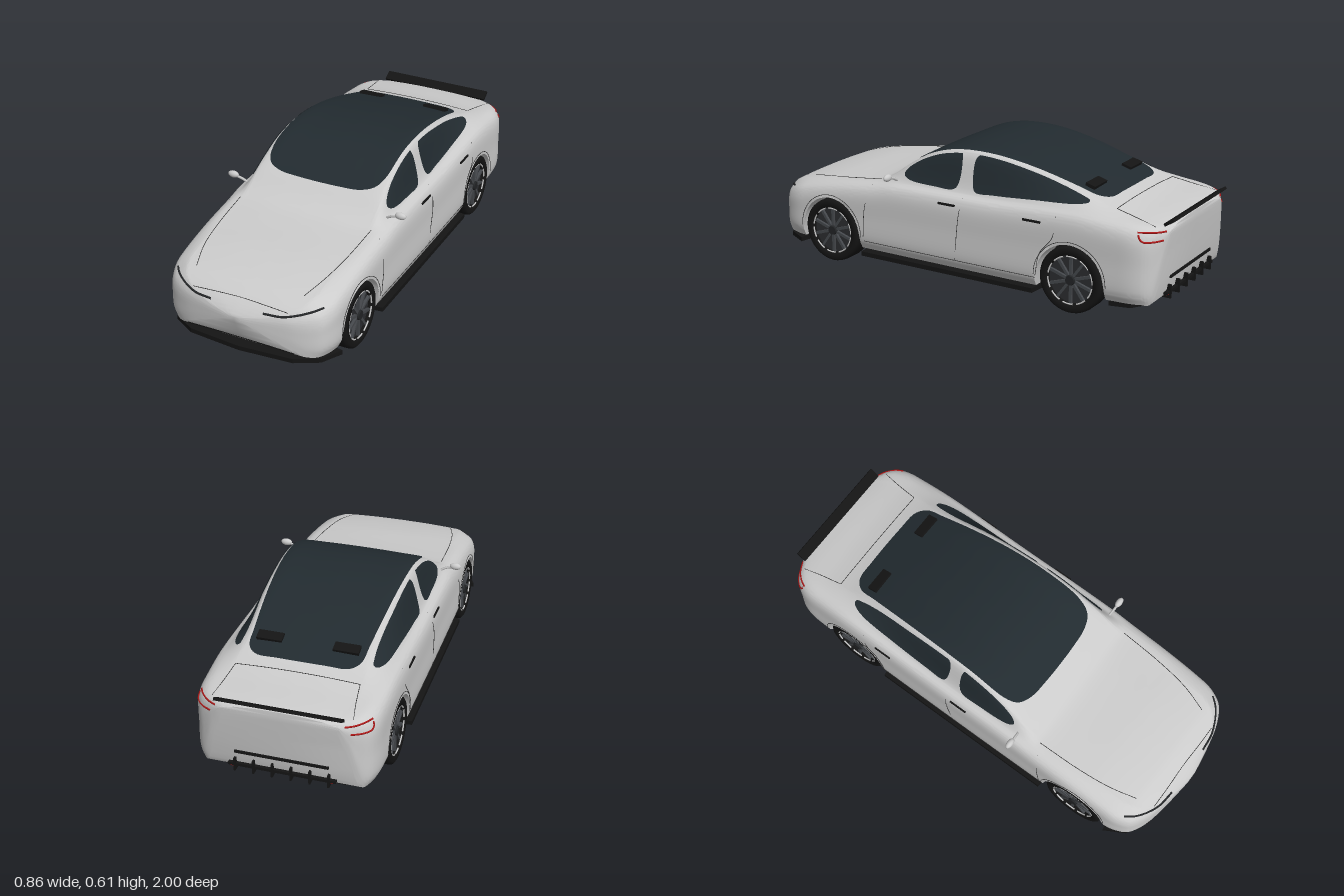
import * as THREE from 'three';
import { toCreasedNormals } from 'three/addons/utils/BufferGeometryUtils.js';

const GREY = 0xcccccc, BLACK = 0x141414, GLASS = 0x222b30, RED = 0xb01818;
const V = (x, y, z) => new THREE.Vector3(x, y, z);
const WHEELS = [0.635, -0.59], WHEEL_Y = 0.145, ARCH_R = 0.156;

// Smooth curve through [z, value] pairs given in falling z
function keys(...k) {
  const slope = i => {
    const a = k[Math.max(i - 1, 0)], b = k[Math.min(i + 1, k.length - 1)];
    return (b[1] - a[1]) / (b[0] - a[0]);
  };
  return z => {
    if (z >= k[0][0]) return k[0][1];
    for (let i = 0; i < k.length - 1; i++) {
      const [z0, v0] = k[i], [z1, v1] = k[i + 1];
      if (z < z1) continue;
      const d = z1 - z0, t = (z - z0) / d, t2 = t * t, t3 = t2 * t;
      return v0 * (2 * t3 - 3 * t2 + 1) + slope(i) * d * (t3 - 2 * t2 + t)
        + v1 * (3 * t2 - 2 * t3) + slope(i + 1) * d * (t3 - t2);
    }
    return k[k.length - 1][1];
  };
}

// Body outlines along the length
const halfWidth = keys([1, 0.03], [0.985, 0.13], [0.96, 0.25], [0.92, 0.335], [0.87, 0.37], [0.8, 0.385], [0.4, 0.393],
  [-0.4, 0.393], [-0.8, 0.388], [-0.88, 0.378], [-0.93, 0.35], [-0.96, 0.3], [-0.975, 0.25]);
const bottomY = keys([1, 0.225], [0.98, 0.165], [0.96, 0.12], [0.94, 0.098], [0.9, 0.09], [0.5, 0.09],
  [-0.9, 0.09], [-0.94, 0.1], [-0.955, 0.18], [-0.968, 0.3], [-0.975, 0.37]);
const topY = keys([1, 0.245], [0.985, 0.265], [0.96, 0.29], [0.93, 0.313], [0.87, 0.343], [0.7, 0.378], [0.5, 0.398],
  [0.4, 0.415], [0.34, 0.446], [0.27, 0.496], [0.2, 0.538], [0.1, 0.58], [0, 0.6], [-0.1, 0.604], [-0.2, 0.597],
  [-0.3, 0.581], [-0.4, 0.559], [-0.5, 0.531], [-0.6, 0.5], [-0.7, 0.467], [-0.8, 0.443], [-0.9, 0.428], [-0.975, 0.415]);
const beltY = keys([1, 0.237], [0.985, 0.25], [0.96, 0.27], [0.9, 0.305], [0.8, 0.338], [0.6, 0.375], [0.4, 0.4],
  [0.3, 0.415], [0.1, 0.422], [-0.2, 0.425], [-0.6, 0.44], [-0.8, 0.424], [-0.9, 0.412], [-0.975, 0.398]);
const roofRatio = keys([1, 0.78], [0.4, 0.78], [0.2, 0.755], [0, 0.74], [-0.3, 0.715], [-0.6, 0.67], [-0.8, 0.72], [-1, 0.72]);

// Right half of a cross-section, from sill to centre line
function section(z) {
  const w = halfWidth(z), b = bottomY(z), s = beltY(z), t = topY(z), h = s - b;
  const r = w * roofRatio(z), e = t - Math.min(0.008, (t - s) * 0.5);
  const mix = THREE.MathUtils.lerp;
  return new THREE.CatmullRomCurve3([
    V(w * 0.95, b, z), V(w * 0.995, b + Math.min(0.04, h * 0.3), z), V(w, mix(b, s, 0.5), z),
    V(w * 0.993, s - Math.min(0.055, h * 0.25), z), V(w * 0.955, s - Math.min(0.02, h * 0.1), z), V(w * 0.88, s, z),
    V(mix(w * 0.88, r, 0.93), mix(s, e, 0.93), z), V(r * 0.96, e, z), V(r * 0.5, mix(e, t, 0.75), z), V(0, t, z)
  ]).getPoints(54);
}
// Points lying on the body, seen from the side, above and the front
function sideX(y, z) {
  const p = section(z);
  let x = -1;
  for (let i = 0; i < p.length - 1; i++) {
    const a = p[i], b = p[i + 1];
    if ((a.y - y) * (b.y - y) <= 0 && a.y !== b.y) x = Math.max(x, a.x + (b.x - a.x) * (y - a.y) / (b.y - a.y));
  }
  return x;
}
const onSide = (s, z, y, off = 0.001) => V(s * (sideX(y, z) + off), y, z);
function onTop(x, z, off = 0.001) {
  const p = section(z), ax = Math.abs(x);
  for (let i = p.length - 1; i > 0; i--) {
    const a = p[i], b = p[i - 1];
    if (b.x >= ax) return V(x, a.y + (b.y - a.y) * (ax - a.x) / (b.x - a.x) + off, z);
  }
  return V(x, p[0].y, z);
}
function onFront(x, y) {
  let z = 1;
  while (z > 0.5 && sideX(y, z) < Math.abs(x)) z -= 0.003;
  return V(x, y, z + 0.002);
}

function createBody() {
  const arch = z => Math.max(...WHEELS.map(c => Math.abs(z - c) < ARCH_R ? WHEEL_Y + Math.sqrt(ARCH_R ** 2 - (z - c) ** 2) : 0));
  const rows = [];
  for (let z = 1; z > -0.975; z -= (z > 0.9 || z < -0.89 ? 0.005 : 0.0125)) rows.push(z);
  rows.push(-0.975);
  const pos = [], idx = [];
  const loops = rows.map(z => {
    const half = section(z);
    const full = [V(0, half[0].y, z), ...half, ...half.slice(0, -1).reverse().map(p => V(-p.x, p.y, z)), V(0, half[0].y, z)];
    full.forEach(p => { p.y = Math.max(p.y, arch(z)); });
    return full;
  });
  const n = loops[0].length;
  loops.unshift(loops[0].map(() => V(0, 0.237, 1)));
  loops.push(loops[1].map(() => V(0, 0.395, -0.977)));
  loops.forEach(l => l.forEach(p => pos.push(p.x, p.y, p.z)));
  for (let i = 0; i < loops.length - 1; i++) for (let j = 0; j < n - 1; j++) {
    const a = i * n + j, c = a + n;
    idx.push(a, c, a + 1, a + 1, c, c + 1);
  }
  const g = new THREE.BufferGeometry();
  g.setAttribute('position', new THREE.Float32BufferAttribute(pos, 3));
  g.setIndex(idx);
  return toCreasedNormals(g, 0.8);
}

// Rounded patch: an outline filled with rings and laid on the body
function patch(outline, place) {
  const pts = new THREE.CatmullRomCurve3(outline.map(([a, b]) => V(a, b, 0)), true).getPoints(96);
  const mid = pts.reduce((s, p) => s.add(p), V(0, 0, 0)).divideScalar(pts.length);
  const pos = [], idx = [], R = 16, n = pts.length;
  for (let r = 0; r <= R; r++) pts.forEach(p => {
    const q = mid.clone().lerp(p, r / R);
    pos.push(...place(q.x, q.y).toArray());
  });
  for (let r = 0; r < R; r++) for (let j = 0; j < n - 1; j++) {
    const a = r * n + j;
    idx.push(a, a + n, a + 1, a + 1, a + n, a + n + 1);
  }
  const g = new THREE.BufferGeometry();
  g.setAttribute('position', new THREE.Float32BufferAttribute(pos, 3));
  g.setIndex(idx);
  g.computeVertexNormals();
  return g;
}

function createWheel(add) {
  const wheel = new THREE.Group();
  const part = (name, g, c, x = 0) => { const m = add(name, g, c, wheel); m.position.x = x; return m; };
  // Profile as [radius, distance outwards]
  const tyre = [[0.104, -0.05], [0.132, -0.052], [0.143, -0.044], [0.145, -0.03], [0.145, 0.03], [0.143, 0.044], [0.132, 0.052], [0.108, 0.049], [0.104, 0.03]];
  part('tyre', new THREE.LatheGeometry(tyre.map(p => new THREE.Vector2(...p)), 48).rotateZ(-Math.PI / 2), BLACK).material.side = THREE.DoubleSide;
  part('rimDisc', new THREE.CylinderGeometry(0.106, 0.106, 0.06, 40).rotateZ(Math.PI / 2), 0x2b2d30);
  part('hub', new THREE.CylinderGeometry(0.02, 0.026, 0.02, 16).rotateZ(-Math.PI / 2), 0x222426, 0.04);
  for (let i = 0; i < 10; i++) {
    const a = i * Math.PI / 5;
    part('spoke', new THREE.BoxGeometry(0.012, 0.085, 0.012).translate(0, 0.06, 0).rotateX(a), 0x45484c, 0.036);
    part('rimAccent', new THREE.TorusGeometry(0.104, 0.0035, 6, 6, 0.48).rotateY(Math.PI / 2).rotateX(a), GREY, 0.046);
  }
  return wheel;
}

export function createModel() {
  const car = new THREE.Group();
  const add = (name, g, color = GREY, parent = car) => {
    const m = new THREE.Mesh(g, new THREE.MeshStandardMaterial({ color }));
    m.name = name;
    parent.add(m);
    return m;
  };
  const box = (name, w, h, d, x, y, z, c = BLACK) => {
    const m = add(name, new THREE.BoxGeometry(w, h, d), c);
    m.position.set(x, y, z);
    return m;
  };
  const tube = (name, pts, r = 0.0014, c = 0x333333) =>
    add(name, new THREE.TubeGeometry(new THREE.CatmullRomCurve3(pts), 32, r, 5), c);

  add('body', createBody());

  // Roof glass and side windows
  const half = [[0.1, 0.272], [0.2, 0.262], [0.255, 0.235], [0.279, 0.18], [0.281, 0], [0.272, -0.25], [0.25, -0.55], [0.24, -0.64], [0.2, -0.68], [0.1, -0.687]];
  const roof = [...half, ...half.map(([x, z]) => [-x, z]).reverse()];
  add('roofGlass', patch(roof, (x, z) => onTop(x, z, 0.004)), GLASS).material.side = THREE.DoubleSide;
  const front = [[0.268, 0.455], [0.24, 0.438], [0.1, 0.43], [0, 0.434], [-0.018, 0.46], [-0.022, 0.56], [-0.01, 0.59], [0.05, 0.583], [0.12, 0.562], [0.2, 0.52], [0.255, 0.48]];
  const rear = [[-0.09, 0.46], [-0.105, 0.436], [-0.2, 0.436], [-0.4, 0.448], [-0.6, 0.46], [-0.63, 0.468], [-0.61, 0.484], [-0.5, 0.518], [-0.35, 0.558], [-0.2, 0.585], [-0.11, 0.59], [-0.088, 0.57]];
  for (const s of [1, -1]) {
    [['frontWindow', front], ['rearWindow', rear]].forEach(([name, o]) =>
      add(name, patch(o, (z, y) => onSide(s, z, Math.min(y, topY(z) - 0.017), 0.004)), GLASS).material.side = THREE.DoubleSide);

    // Panel seams, arch lines and door handles
    const sideLine = (name, zy, r, c) => tube(name, zy.map(([z, y]) => onSide(s, z, y)), r, c);
    sideLine('frontDoorSeam', [[0.42, 0.39], [0.44, 0.3], [0.455, 0.15]]);
    sideLine('middleDoorSeam', [[-0.06, 0.41], [-0.055, 0.35], [-0.03, 0.13]]);
    sideLine('rearDoorSeam', [[-0.52, 0.41], [-0.51, 0.32], [-0.45, 0.24], [-0.43, 0.14]]);
    sideLine('sillSeam', [[0.45, 0.13], [0, 0.13], [-0.43, 0.13]]);
    WHEELS.forEach(c => sideLine('archLine', Array.from({ length: 13 }, (_, i) => {
      const a = Math.PI * i / 12;
      return [c + 0.168 * Math.cos(a), WHEEL_Y + 0.168 * Math.sin(a)];
    })));
    [0.01, -0.41].forEach(z => box('doorHandle', 0.008, 0.009, 0.085, s * (sideX(0.375, z) + 0.001), 0.375, z));
    tube('bonnetSeam', [[0.315, 0.4], [0.305, 0.6], [0.285, 0.75], [0.25, 0.87]].map(([x, z]) => onTop(s * x, z)));
    tube('bootSeam', [[0.265, -0.74], [0.28, -0.85], [0.295, -0.93]].map(([x, z]) => onTop(s * x, z)));

    // Lights
    tube('headlight', [[0.34, 0.308], [0.31, 0.302], [0.26, 0.289], [0.2, 0.278], [0.12, 0.275]].map(([x, y]) => onFront(s * x, y)), 0.005, 0x26282a);
    sideLine('tailLight', [[-0.965, 0.392], [-0.945, 0.394], [-0.91, 0.398], [-0.88, 0.398]], 0.004, RED);
    sideLine('tailLight', [[-0.963, 0.36], [-0.94, 0.36], [-0.91, 0.362], [-0.895, 0.372], [-0.885, 0.39]], 0.004, RED);
    box('rearReflector', 0.02, 0.012, 0.012, s * 0.21, 0.105, -0.95, RED);

    // Mirrors on stalks
    const mirror = add('mirror', new THREE.SphereGeometry(1, 16, 10));
    mirror.scale.set(0.026, 0.016, 0.014);
    mirror.position.set(s * 0.405, 0.45, 0.305);
    tube('mirrorStalk', [V(s * 0.34, 0.425, 0.3), V(s * 0.362, 0.437, 0.303), V(s * 0.39, 0.445, 0.305)], 0.006, GREY);

    // Wheels
    WHEELS.forEach((z, i) => {
      const w = createWheel(add);
      w.name = i ? 'rearWheel' : 'frontWheel';
      w.position.set(s * 0.337, WHEEL_Y, z);
      if (s < 0) w.rotation.y = Math.PI;
      car.add(w);
    });
    box('rearVent', 0.11, 0.018, 0.045, s * 0.165, 0.507, -0.59).rotation.x = -0.3;
  }
  tube('bonnetFrontSeam', [-0.22, -0.12, 0, 0.12, 0.22].map(x => onFront(x, 0.302 - x * x * 0.2)));
  tube('bootFrontSeam', [-0.265, -0.13, 0, 0.13, 0.265].map(x => onTop(x, -0.74)));
  tube('lowerIntake', [-0.25, -0.12, 0, 0.12, 0.25].map(x => onFront(x, 0.116 - x * x * 0.1)), 0.003, BLACK);

  // Dark wells between the wheels
  WHEELS.forEach(z => box('wheelWell', 0.55, 0.22, 0.31, 0, 0.185, z));

  // Floor with splitter, side skirts and tail
  const edge = [[0.24, 0.955], [0.34, 0.9], [0.39, 0.81], [0.27, 0.785], [0.27, 0.475], [0.402, 0.46], [0.402, -0.42], [0.27, -0.435], [0.27, -0.745], [0.36, -0.76], [0.34, -0.85], [0.26, -0.9]];
  const outline = [[0, 0.975], ...edge, ...edge.map(([x, z]) => [-x, z]).reverse()];
  const floor = new THREE.Shape(outline.map(p => new THREE.Vector2(...p)));
  add('floor', new THREE.ExtrudeGeometry(floor, { depth: 0.02, bevelEnabled: false }).rotateX(Math.PI / 2).translate(0, 0.082, 0), BLACK);

  // Spoiler, rear strip and diffuser
  box('spoiler', 0.53, 0.012, 0.048, 0, 0.427, -0.972).rotation.x = 0.55;
  box('rearStrip', 0.4, 0.012, 0.02, 0, 0.175, -0.951);
  box('diffuserBar', 0.46, 0.012, 0.02, 0, 0.11, -0.95);
  for (let i = 0; i < 6; i++) box('diffuserFin', 0.008, 0.06, 0.09, -0.2 + i * 0.08, 0.112, -0.92);

  return car;
}
